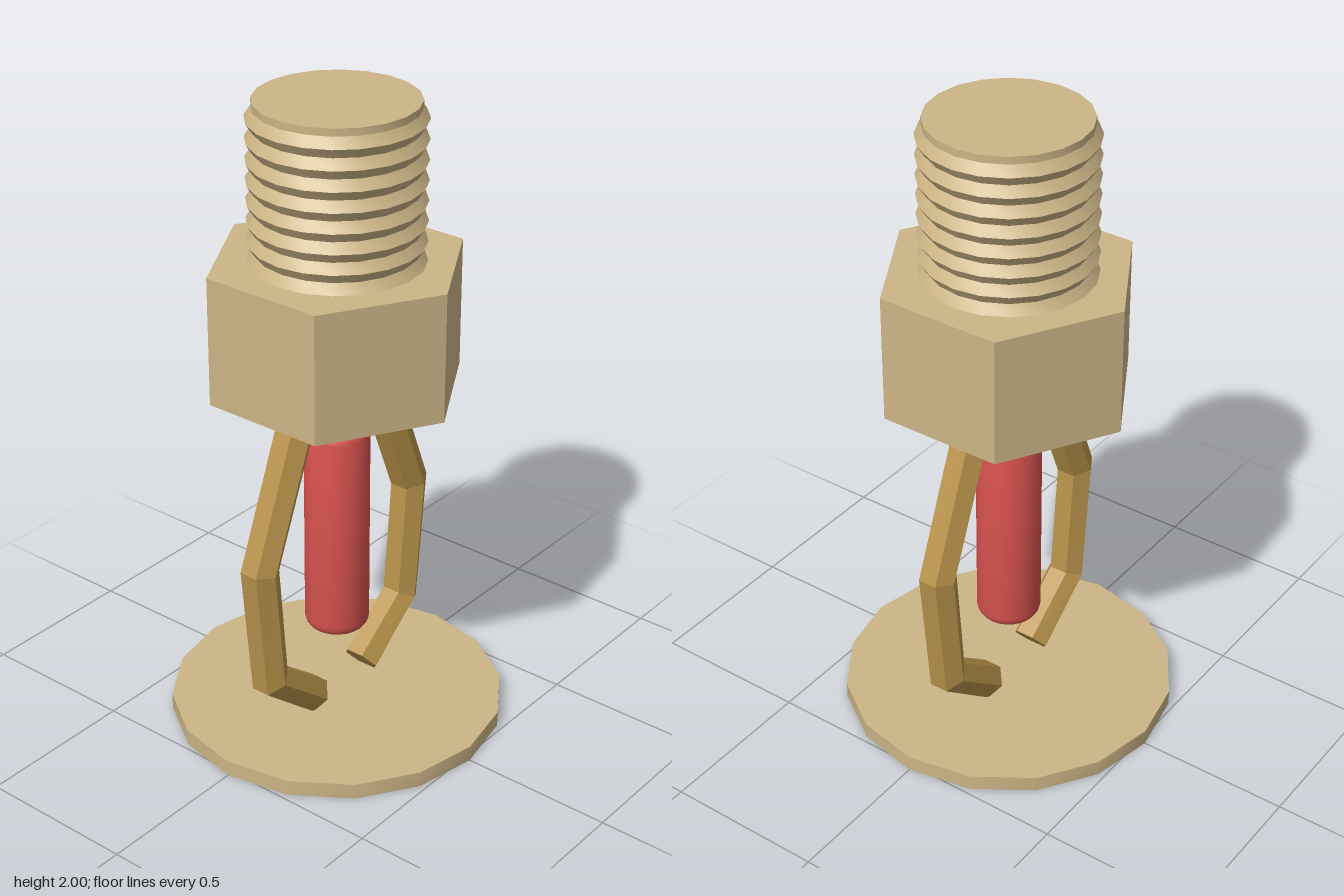
import * as THREE from 'three';
import { toCreasedNormals } from 'three/addons/utils/BufferGeometryUtils.js';

const brass = new THREE.MeshStandardMaterial({ color: 0xccb586 });
brass.name = 'pale brass';
const bronze = new THREE.MeshStandardMaterial({ color: 0xb8924a });
bronze.name = 'dark brass';
const red = new THREE.MeshStandardMaterial({ color: 0xd9534f });
red.name = 'red glass';

function part(name, geometry, material, y = 0, crease = 0.6) {
  const mesh = new THREE.Mesh(toCreasedNormals(geometry, crease), material);
  mesh.name = name;
  mesh.position.y = y;
  return mesh;
}

const lathe = (points, sides) =>
  new THREE.LatheGeometry(points.map(([r, y]) => new THREE.Vector2(r, y)), sides);

// Six-sided bar following a bent path in the xy plane, closed at both ends
function bentBar(path, radius) {
  const points = path.map(([x, y]) => new THREE.Vector2(x, y));
  const dir = (a, b) => b.clone().sub(a).normalize();
  const positions = [];
  const index = [];
  const last = points.length - 1;
  points.forEach((p, i) => {
    const t = new THREE.Vector2();
    if (i > 0) t.add(dir(points[i - 1], p));
    if (i < last) t.add(dir(p, points[i + 1]));
    t.normalize();
    for (let k = 0; k < 6; k++) {
      const a = (k * Math.PI) / 3;
      const s = Math.sin(a) * radius;
      positions.push(p.x + t.y * s, p.y - t.x * s, Math.cos(a) * radius);
      if (i < last) {
        const q = i * 6 + k;
        const r = i * 6 + ((k + 1) % 6);
        index.push(q, r, r + 6, q, r + 6, q + 6);
      }
    }
  });
  for (let k = 1; k < 5; k++) {
    index.push(0, k + 1, k);
    index.push(last * 6, last * 6 + k, last * 6 + k + 1);
  }
  const geometry = new THREE.BufferGeometry();
  geometry.setAttribute('position', new THREE.Float32BufferAttribute(positions, 3));
  geometry.setIndex(index);
  return geometry;
}

export function createModel() {
  const model = new THREE.Group();
  model.name = 'sprinklerHead';

  // Deflector disc and hexagonal nut
  model.add(part('deflectorPlate', new THREE.CylinderGeometry(0.52, 0.52, 0.05, 16), brass, 0.025));
  model.add(part('hexNut', new THREE.CylinderGeometry(0.392, 0.392, 0.4, 6), brass, 1.32));

  // Threaded stem: crests and valleys alternate upwards
  const pitch = 0.061;
  const thread = [[0, 1.52]];
  for (let i = 0; i < 8; i++) {
    const y = 1.52 + i * pitch;
    thread.push([0.26, y], [0.24, y + pitch / 2]);
  }
  thread.push([0.24, 2], [0, 2]);
  model.add(part('threadedStem', lathe(thread, 20), brass, 0, 0.5));

  // Glass bulb with rounded ends
  const bulb = [[0, 0.285]];
  const r = 0.04;
  for (let i = 0; i <= 4; i++) {
    const a = (i * Math.PI) / 8;
    bulb.push([0.06 + Math.sin(a) * r, 0.285 + r - Math.cos(a) * r]);
  }
  for (let i = 4; i >= 0; i--) {
    const a = (i * Math.PI) / 8;
    bulb.push([0.06 + Math.sin(a) * r, 1 - r + Math.cos(a) * r]);
  }
  bulb.push([0, 1]);
  model.add(part('glassBulb', lathe(bulb, 24), red));

  // Frame arms, one on each side
  const armPath = [[0.165, 1.12], [0.358, 0.643], [0.32, 0.245], [0.12, 0.085]];
  ['leftArm', 'rightArm'].forEach((name, i) => {
    const arm = part(name, bentBar(armPath, 0.06), bronze, 0, 0.01);
    arm.rotation.y = i * Math.PI;
    model.add(arm);
  });

  return model;
}
